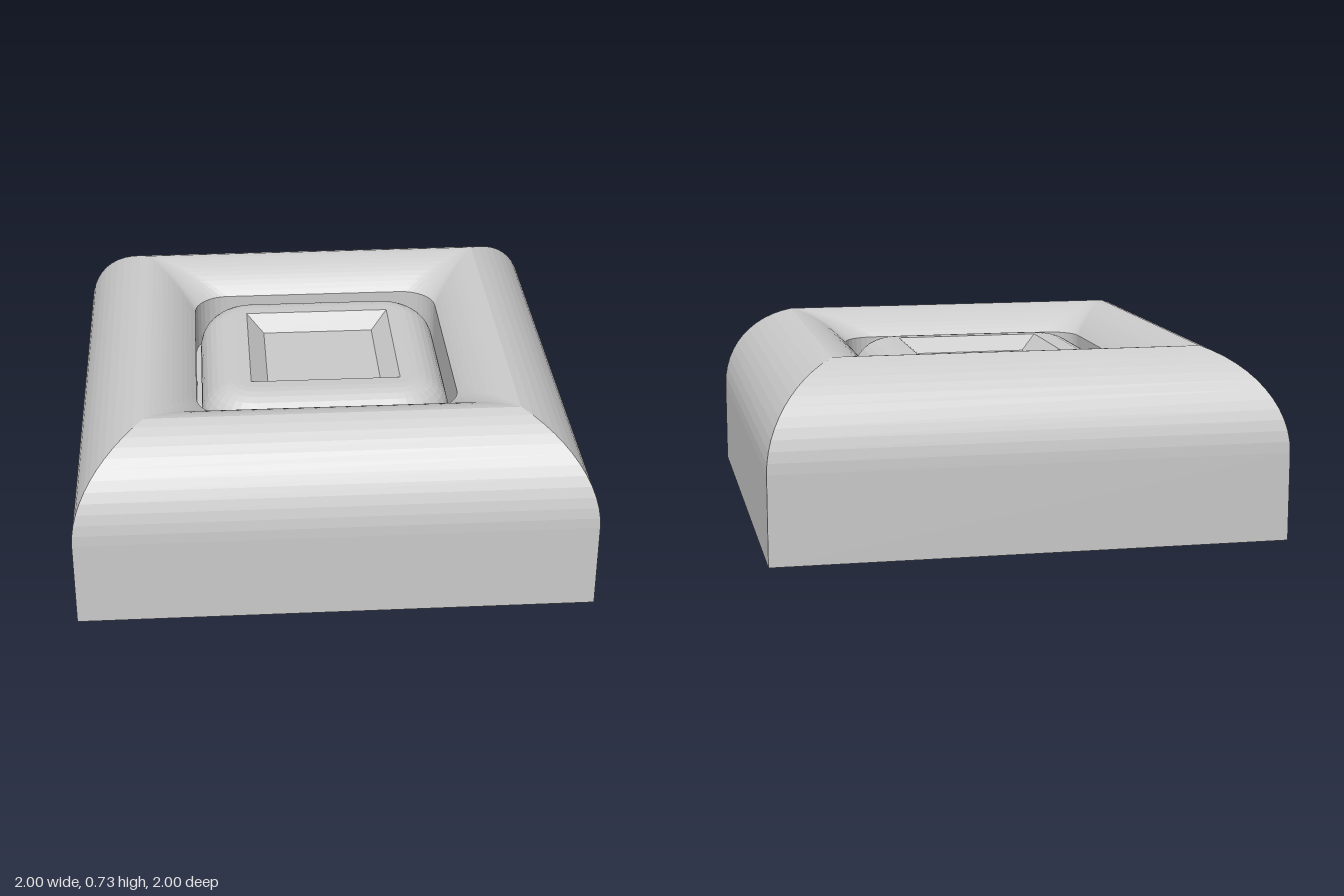
import * as THREE from 'three';

const CORNER_STEPS = 8;

// One ring of a square with rounded corners: half width h, corner radius r, height y
function ring(h, y, r) {
  const pts = [];
  for (let q = 0; q < 4; q++) {
    const sx = q === 0 || q === 3 ? 1 : -1;
    const sz = q < 2 ? 1 : -1;
    for (let i = 0; i <= CORNER_STEPS; i++) {
      const a = (q + i / CORNER_STEPS) * Math.PI / 2;
      pts.push(new THREE.Vector3(
        sx * (h - r) + r * Math.cos(a), y, sz * (h - r) + r * Math.sin(a)));
    }
  }
  return pts;
}

// Skin over a profile of [half width, height, corner radius], dropping empty triangles
function loft(profile) {
  const rings = profile.map(([h, y, r]) => ring(h, y, r));
  const pos = [];
  const tri = new THREE.Triangle();
  const add = (a, b, c) => {
    if (tri.set(a, b, c).getArea() > 1e-8) for (const p of [a, b, c]) pos.push(p.x, p.y, p.z);
  };
  for (let i = 0; i < rings.length - 1; i++) {
    const lo = rings[i], hi = rings[i + 1], n = lo.length;
    for (let j = 0; j < n; j++) {
      const k = (j + 1) % n;
      add(lo[j], hi[j], lo[k]);
      add(lo[k], hi[j], hi[k]);
    }
  }
  const geo = new THREE.BufferGeometry();
  geo.setAttribute('position', new THREE.Float32BufferAttribute(pos, 3));
  geo.computeVertexNormals();
  return geo;
}

export function createModel() {
  const group = new THREE.Group();
  const material = new THREE.MeshStandardMaterial({ color: 0xcccccc, flatShading: true });
  const part = (name, profile) => {
    const mesh = new THREE.Mesh(loft(profile), material);
    mesh.name = name;
    group.add(mesh);
  };

  // Housing: square base, rounded shoulder up to the ridge
  const housing = [[0, 0, 0], [1, 0, 0]];
  const ridge = Math.acos(0.3);
  for (let i = 0; i <= 12; i++) {
    const a = ridge * i / 12;
    housing.push([0.6 + 0.4 * Math.cos(a), 0.345 + 0.4 * Math.sin(a), 0]);
  }
  // Inner slope rolling down to a round-cornered well
  const slope = new THREE.QuadraticBezierCurve(
    new THREE.Vector2(0.72, 0.727), new THREE.Vector2(0.61, 0.715), new THREE.Vector2(0.52, 0.615));
  for (let i = 1; i <= 10; i++) {
    const p = slope.getPoint(i / 10);
    housing.push([p.x, p.y, 0.14 * i / 10]);
  }
  housing.push([0.52, 0.42, 0.14], [0, 0.42, 0]);
  part('housing', housing);

  // Button: rounded pad with a shallow square dish in its top
  const button = [[0.5, 0.42, 0.22]];
  for (let i = 0; i <= 8; i++) {
    const a = Math.PI / 2 * i / 8;
    const h = 0.35 + 0.15 * Math.cos(a);
    button.push([h, 0.49 + 0.15 * Math.sin(a), h - 0.28]);
  }
  button.push([0.3, 0.64, 0], [0.23, 0.58, 0], [0, 0.58, 0]);
  part('button', button);

  return group;
}
